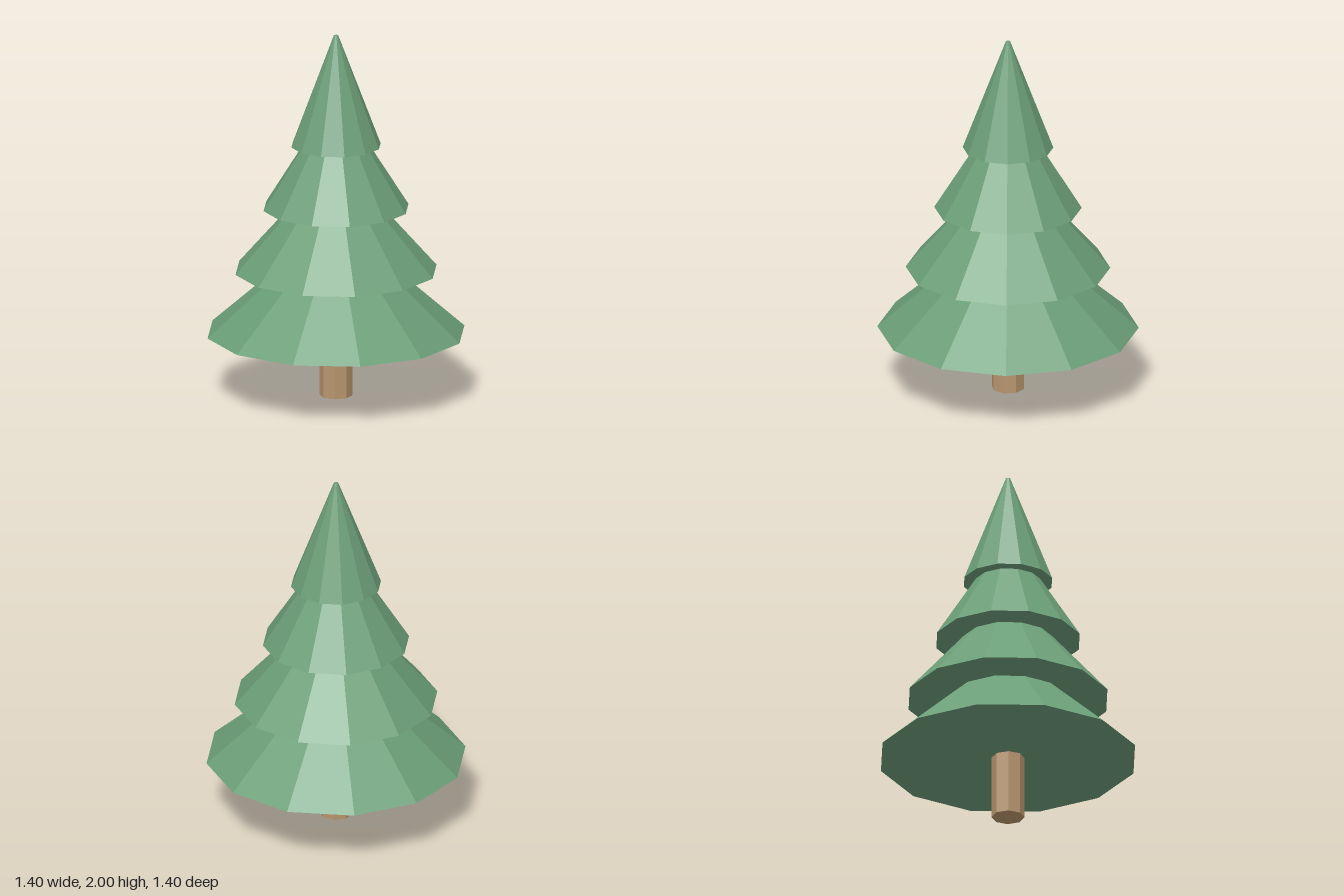
import * as THREE from 'three';

export function createModel() {
  const tree = new THREE.Group();
  tree.name = 'pineTree';

  const needles = new THREE.MeshStandardMaterial({ color: 0x6b9e78, flatShading: true });
  needles.name = 'needleGreen';
  const bark = new THREE.MeshStandardMaterial({ color: 0xb8956e, flatShading: true });
  bark.name = 'barkBrown';

  // Upright prism or truncated cone standing on y = base
  function addColumn(name, topRadius, bottomRadius, height, sides, base, material) {
    const geometry = new THREE.CylinderGeometry(topRadius, bottomRadius, height, sides);
    const mesh = new THREE.Mesh(geometry, material);
    mesh.name = name;
    mesh.position.y = base + height / 2;
    tree.add(mesh);
  }

  // Eight-sided trunk, reaching just inside the lowest tier
  addColumn('trunk', 0.088, 0.088, 0.38, 8, 0, bark);

  // Four overlapping tiers of branches, narrowing upwards
  const tierHeight = 0.612;
  const lowest = 0.35;
  const step = (2 - tierHeight - lowest) / 3;
  [0.7, 0.548, 0.395, 0.243].forEach((radius, i) => {
    addColumn(`branchTier${i + 1}`, 0.012, radius, tierHeight, 12, lowest + i * step, needles);
  });

  return tree;
}
